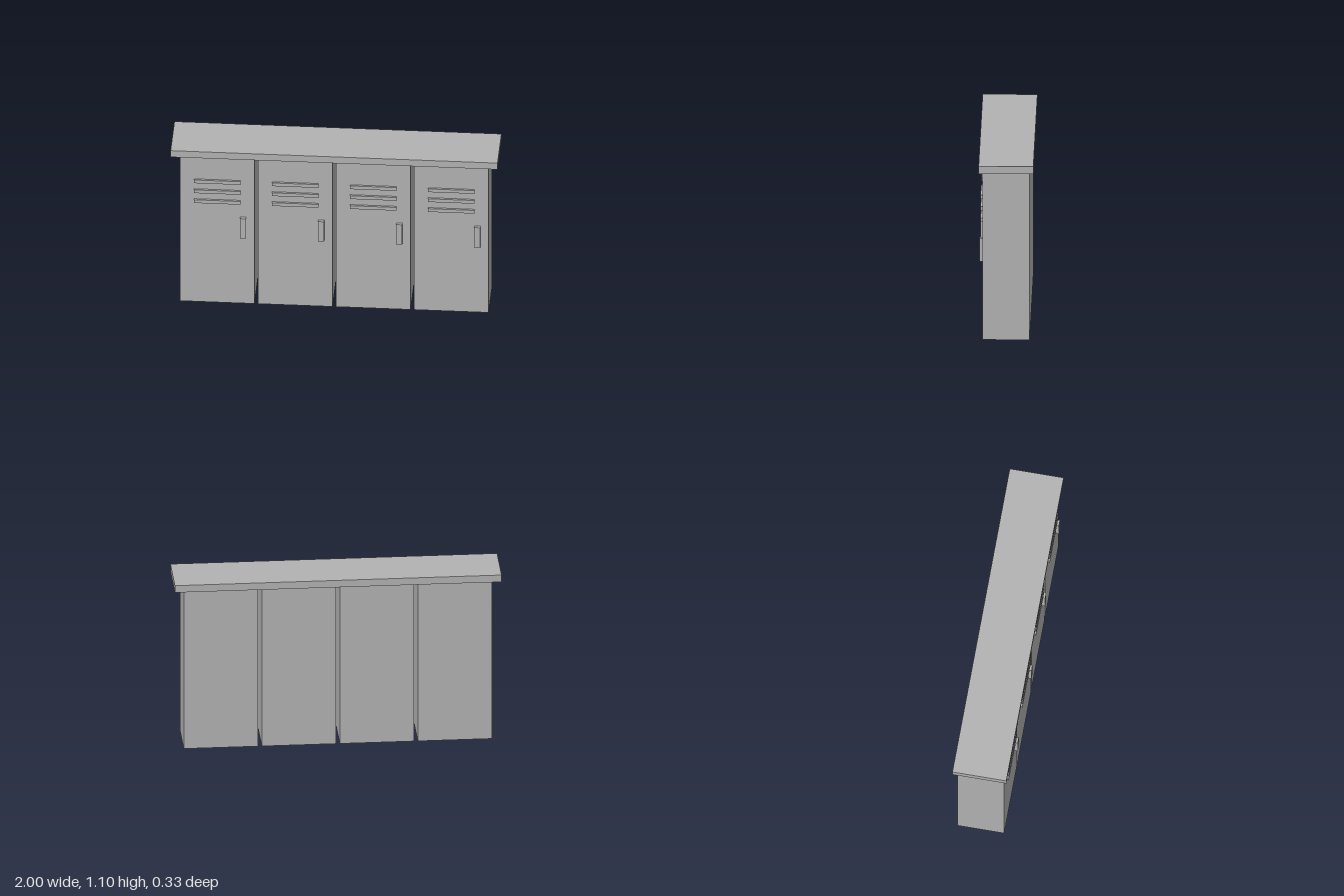
import * as THREE from 'three';

const metal = new THREE.MeshStandardMaterial({ color: 0xb2b2b2 });
metal.name = 'grey metal';

// Box given by its size and centre
function box(name, w, h, d, x, y, z) {
  const mesh = new THREE.Mesh(new THREE.BoxGeometry(w, h, d), metal);
  mesh.name = name;
  mesh.position.set(x, y, z);
  return mesh;
}

const HEIGHT = 1.05;
const DEPTH = 0.288;
const FRONT = DEPTH / 2;

// One locker: body, three vent slats and a handle on the door
function createLocker() {
  const locker = new THREE.Group();
  locker.name = 'locker';
  locker.add(box('body', 0.455, HEIGHT, DEPTH, 0, HEIGHT / 2, 0));
  for (let i = 0; i < 3; i++) {
    locker.add(box('ventSlat', 0.284, 0.023, 0.013, 0, 0.73 + i * 0.0715, FRONT + 0.0065));
  }
  locker.add(box('handle', 0.037, 0.143, 0.019, 0.159, 0.55, FRONT + 0.0095));
  return locker;
}

export function createModel() {
  const model = new THREE.Group();
  model.name = 'lockerRow';

  // Four lockers with narrow gaps between them
  for (let i = 0; i < 4; i++) {
    const locker = createLocker();
    locker.position.x = (i - 1.5) * 0.4775;
    model.add(locker);
  }

  // Overhanging top slab
  model.add(box('topSlab', 2, 0.046, 0.334, 0, HEIGHT + 0.023, 0));
  return model;
}
